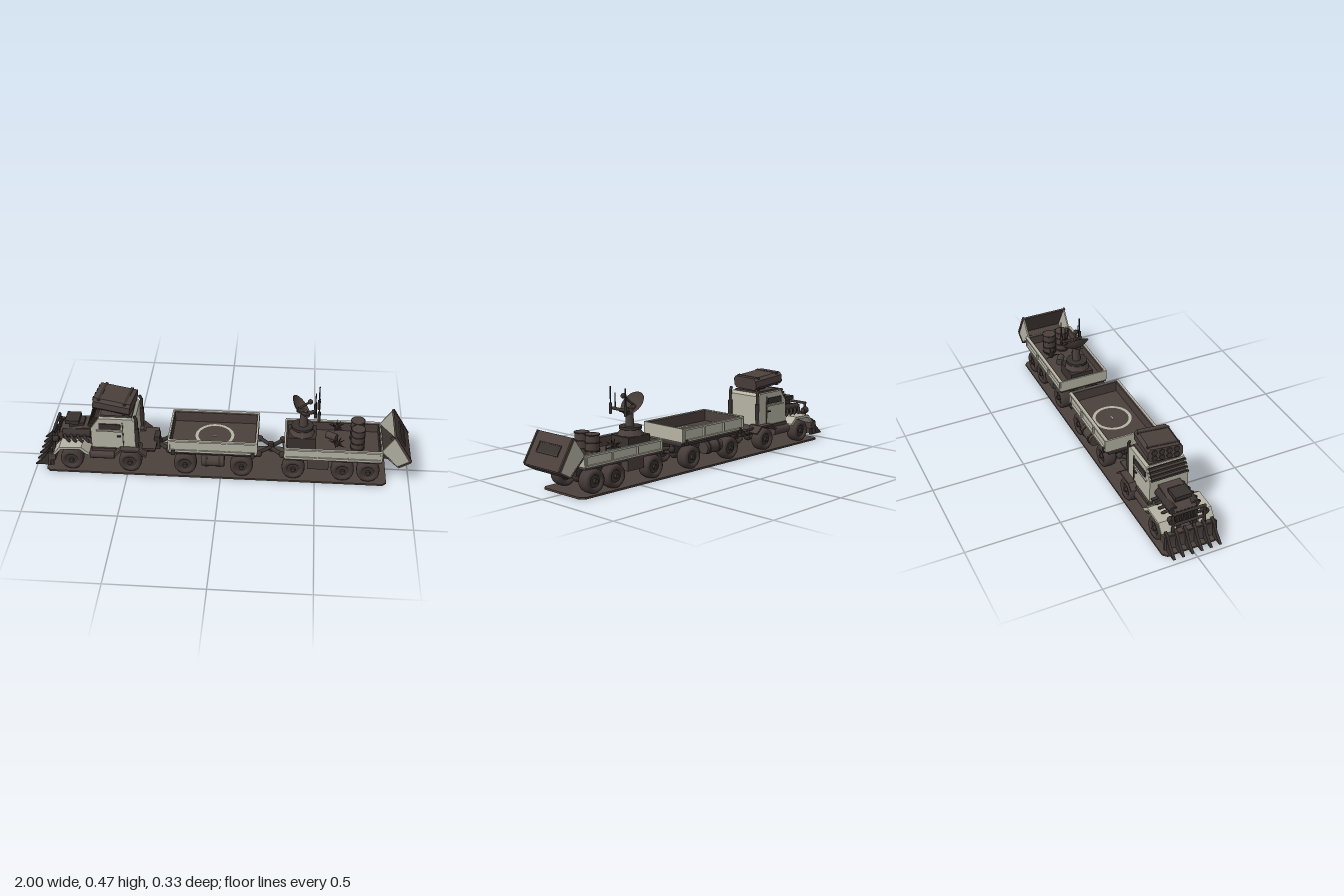
import * as THREE from 'three';

const mat = (name, color, side = THREE.FrontSide) => {
  const m = new THREE.MeshStandardMaterial({ color, side });
  m.name = name;
  return m;
};

export function createModel() {
  const root = new THREE.Group();
  const brown = mat('brownSteel', 0x4b403c);
  const tyreMat = mat('tyreRubber', 0x443a37);
  const iron = mat('darkIron', 0x39322f);
  const dish = mat('dishSteel', 0x483d39, THREE.DoubleSide);
  const pale = mat('palePaint', 0xb6b4a5);

  const add = (p, name, geo, m, x = 0, y = 0, z = 0, rx = 0, ry = 0, rz = 0) => {
    const o = new THREE.Mesh(geo, m);
    o.name = name;
    o.position.set(x, y, z);
    o.rotation.set(rx, ry, rz);
    p.add(o);
    return o;
  };
  const group = (name) => { const g = new THREE.Group(); g.name = name; root.add(g); return g; };
  // box given by its limits
  const box = (p, name, m, x0, x1, y0, y1, z0, z1) =>
    add(p, name, new THREE.BoxGeometry(x1 - x0, y1 - y0, z1 - z0), m, (x0 + x1) / 2, (y0 + y1) / 2, (z0 + z1) / 2);
  // side profile pushed across z
  const prism = (p, name, m, pts, z0, z1) => add(p, name,
    new THREE.ExtrudeGeometry(new THREE.Shape(pts.map(a => new THREE.Vector2(...a))), { depth: z1 - z0, bevelEnabled: false }), m, 0, 0, z0);
  // rod between two points
  const rod = (p, name, m, a, b, r, r2 = r) => {
    const A = new THREE.Vector3(...a), B = new THREE.Vector3(...b), d = B.clone().sub(A);
    const o = add(p, name, new THREE.CylinderGeometry(r2, r, d.length(), 12), m);
    o.position.copy(A).add(B).multiplyScalar(0.5);
    o.quaternion.setFromUnitVectors(new THREE.Vector3(0, 1, 0), d.normalize());
    return o;
  };
  const sides = (f) => [1, -1].forEach(f);

  // wheels with axle and hub
  const tyreGeo = new THREE.LatheGeometry([[0.03, -0.022], [0.036, -0.033], [0.05, -0.035], [0.058, -0.028], [0.061, -0.012],
    [0.061, 0.012], [0.058, 0.028], [0.05, 0.035], [0.036, 0.033], [0.03, 0.022]].map(a => new THREE.Vector2(...a)), 32);
  const hubGeo = new THREE.CylinderGeometry(0.031, 0.031, 0.048, 20);
  const capGeo = new THREE.CylinderGeometry(0.012, 0.016, 0.075, 12);
  const axle = (p, x) => {
    sides(s => {
      add(p, 'tyre', tyreGeo, tyreMat, x, 0.07, s * 0.104, Math.PI / 2);
      add(p, 'hub', hubGeo, iron, x, 0.07, s * 0.104, Math.PI / 2);
      add(p, 'hubCap', capGeo, iron, x, 0.07, s * 0.104, s * Math.PI / 2);
    });
    rod(p, 'axle', iron, [x, 0.07, -0.08], [x, 0.07, 0.08], 0.012);
    add(p, 'differential', new THREE.SphereGeometry(0.026, 16, 10), iron, x, 0.07, 0);
  };

  // ground plate with clipped corners
  const c = 0.02;
  const plate = new THREE.Shape([[-0.94, -0.15 + c], [-0.94 + c, -0.15], [0.88 - c, -0.15], [0.88, -0.15 + c],
    [0.88, 0.15 - c], [0.88 - c, 0.15], [-0.94 + c, 0.15], [-0.94, 0.15 - c]].map(a => new THREE.Vector2(...a)));
  add(root, 'groundPlate', new THREE.ExtrudeGeometry(plate, { depth: 0.01, bevelEnabled: false }), brown, 0, 0.01, 0, Math.PI / 2);

  // ---- truck ----
  const truck = group('truck');
  [-0.8, -0.485].forEach(x => axle(truck, x));
  sides(s => box(truck, 'frameRail', iron, -0.88, -0.36, 0.09, 0.125, s * 0.045 - 0.012, s * 0.045 + 0.012));
  box(truck, 'rearDeck', brown, -0.5, -0.35, 0.13, 0.142, -0.1, 0.1);
  prism(truck, 'cab', pale, [[-0.69, 0.14], [-0.455, 0.14], [-0.455, 0.31], [-0.47, 0.325], [-0.645, 0.325], [-0.69, 0.26]], -0.105, 0.105);
  box(truck, 'roof', brown, -0.64, -0.47, 0.325, 0.335, -0.085, 0.085);
  sides(s => {
    const z = s * 0.107;
    box(truck, 'sideWindow', iron, -0.645, -0.53, 0.262, 0.295, z - 0.004, z + 0.004);
    box(truck, 'doorLip', pale, -0.66, -0.52, 0.248, 0.256, z - 0.006, z + 0.006);
    box(truck, 'doorSeam', brown, -0.522, -0.517, 0.15, 0.305, z - 0.003, z + 0.003);
    box(truck, 'doorHandle', iron, -0.55, -0.53, 0.215, 0.222, z - 0.006, z + 0.006);
    box(truck, 'sill', brown, -0.69, -0.56, 0.125, 0.142, s * 0.1 - 0.015, s * 0.1 + 0.015);
    rod(truck, 'fuelTank', brown, [-0.7, 0.1, s * 0.105], [-0.57, 0.1, s * 0.105], 0.026);
    // exhaust stack
    rod(truck, 'exhaustPipe', iron, [-0.445, 0.14, s * 0.1], [-0.445, 0.33, s * 0.1], 0.008);
    rod(truck, 'muffler', iron, [-0.445, 0.18, s * 0.1], [-0.445, 0.27, s * 0.1], 0.012);
    rod(truck, 'exhaustTip', iron, [-0.445, 0.325, s * 0.1], [-0.455, 0.346, s * 0.1], 0.008);
    // fenders
    const z0 = Math.min(s * 0.06, s * 0.143), z1 = Math.max(s * 0.06, s * 0.143);
    prism(truck, 'frontFender', pale, [[-0.885, 0.105], [-0.855, 0.142], [-0.75, 0.146], [-0.715, 0.115], [-0.7, 0.115],
      [-0.7, 0.125], [-0.742, 0.16], [-0.86, 0.156], [-0.895, 0.112]], z0, z1);
    prism(truck, 'rearFender', brown, [[-0.56, 0.115], [-0.53, 0.142], [-0.44, 0.142], [-0.4, 0.11], [-0.395, 0.118],
      [-0.435, 0.152], [-0.535, 0.152], [-0.568, 0.122]], z0, z1);
    add(truck, 'headlight', new THREE.CylinderGeometry(0.02, 0.015, 0.03, 16), iron, -0.885, 0.175, s * 0.09, 0, 0, Math.PI / 2);
  });
  // armoured windscreen
  const screen = add(truck, 'windscreen', new THREE.BoxGeometry(0.008, 0.07, 0.19), brown, -0.671, 0.292, 0, 0, 0, -0.605);
  for (let i = 0; i < 4; i++) add(screen, 'windscreenSlat', new THREE.BoxGeometry(0.022, 0.008, 0.2), iron, -0.01, -0.03 + i * 0.02, 0);
  // engine
  prism(truck, 'engineBay', brown, [[-0.875, 0.13], [-0.685, 0.13], [-0.685, 0.235], [-0.77, 0.225], [-0.855, 0.205], [-0.875, 0.19]], -0.06, 0.06);
  for (let i = 0; i < 6; i++) box(truck, 'grilleBar', iron, -0.886, -0.872, 0.13, 0.205, -0.054 + i * 0.0195, -0.044 + i * 0.0195);
  box(truck, 'blower', iron, -0.82, -0.74, 0.215, 0.243, -0.035, 0.035);
  box(truck, 'intakeScoop', iron, -0.84, -0.765, 0.24, 0.262, -0.045, 0.045);
  sides(s => {
    rod(truck, 'cylinderBank', iron, [-0.85, 0.195, s * 0.06], [-0.7, 0.2, s * 0.06], 0.024);
    for (let i = 0; i < 4; i++) add(truck, 'exhaustHeader', new THREE.TubeGeometry(new THREE.QuadraticBezierCurve3(
      new THREE.Vector3(-0.84 + i * 0.035, 0.2, s * 0.06), new THREE.Vector3(-0.84 + i * 0.035, 0.195, s * 0.105),
      new THREE.Vector3(-0.81 + i * 0.035, 0.165, s * 0.095)), 8, 0.008, 8), iron);
  });
  // roof launcher
  const launcher = new THREE.Group();
  launcher.name = 'roofLauncher';
  launcher.position.set(-0.567, 0.385, 0);
  launcher.rotation.set(0, -0.12, -0.11);
  truck.add(launcher);
  const lo = new THREE.Shape([[-0.09, -0.018], [-0.075, -0.034], [0.075, -0.034], [0.09, -0.018], [0.09, 0.018],
    [0.075, 0.034], [-0.075, 0.034], [-0.09, 0.018]].map(a => new THREE.Vector2(...a)));
  add(launcher, 'launcherBox', new THREE.ExtrudeGeometry(lo, { depth: 0.2, bevelEnabled: false }), brown, -0.1, 0, 0, 0, Math.PI / 2);
  sides(s => {
    for (let i = 0; i < 4; i++)
      add(launcher, 'launchTube', new THREE.CylinderGeometry(0.014, 0.014, 0.012, 12), iron, -0.1, s * 0.015, -0.057 + i * 0.038, 0, 0, Math.PI / 2);
    add(launcher, 'launcherBand', new THREE.BoxGeometry(0.014, 0.072, 0.166), iron, s * 0.07);
  });
  rod(truck, 'launcherMount', iron, [-0.56, 0.33, 0], [-0.56, 0.36, 0], 0.045);
  // ram bumper and plough teeth
  box(truck, 'bumper', brown, -0.925, -0.885, 0.07, 0.11, -0.143, 0.143);
  const ram = box(truck, 'ploughBlade', brown, -0.925, -0.912, 0.035, 0.115, -0.143, 0.143);
  ram.rotation.z = -0.12;
  for (let i = 0; i < 6; i++) {
    const z = -0.125 + i * 0.05;
    prism(truck, 'ploughTooth', iron, [[-1, 0.03], [-0.9, 0.03], [-0.9, 0.13], [-0.925, 0.115], [-0.95, 0.075]], z - 0.007, z + 0.007);
  }
  sides(s => {
    rod(truck, 'guardPost', iron, [-0.9, 0.1, s * 0.085], [-0.895, 0.215, s * 0.085], 0.008);
    rod(truck, 'guardBrace', iron, [-0.895, 0.18, s * 0.085], [-0.85, 0.14, s * 0.06], 0.006);
  });
  [0.15, 0.215].forEach(y => rod(truck, 'guardBar', iron, [-0.897, y, -0.09], [-0.897, y, 0.09], 0.008));

  // ---- cargo beds ----
  const bed = (p, x0, x1, y0, y1, w, n) => {
    box(p, 'bedFloor', brown, x0, x1, y0 - 0.012, y0 + 0.008, -w, w);
    sides(s => {
      const z = s * (w - 0.006), zi = s * (w - 0.012);
      box(p, 'sideWall', pale, x0, x1, y0, y1, z - 0.003, z + 0.003);
      box(p, 'sideLining', brown, x0, x1, y0, y1 - 0.004, zi - 0.003, zi + 0.003);
      [y0 + 0.004, y1 - 0.005].forEach(y => box(p, 'sideRail', pale, x0, x1, y - 0.005, y + 0.005, s * w - 0.007, s * w + 0.004));
      for (let i = 0; i <= n; i++) {
        const x = x0 + 0.004 + (x1 - x0 - 0.008) * i / n;
        box(p, 'sideRib', pale, x - 0.004, x + 0.004, y0, y1, s * w - 0.007, s * w + 0.003);
      }
      const x = s > 0 ? x1 : x0;
      box(p, 'endWall', pale, x - 0.004, x + 0.004, y0, y1, -w, w);
      box(p, 'endLining', brown, x - s * 0.007 - 0.003, x - s * 0.007 + 0.003, y0, y1 - 0.004, -w + 0.01, w - 0.01);
      box(p, 'chassisRail', iron, x0 + 0.01, x1 - 0.01, 0.09, y0 - 0.01, s * 0.045 - 0.013, s * 0.045 + 0.013);
    });
  };
  const hitch = (p, x0, x1) => {
    const m = (x0 + x1) / 2;
    sides(s => {
      rod(p, 'drawbarArm', iron, [x1 + 0.01, 0.115, s * 0.075], [m, 0.115, s * 0.008], 0.011);
      rod(p, 'towArm', iron, [x0 - 0.01, 0.125, s * 0.075], [m, 0.12, s * 0.008], 0.01);
      [x0, x1].forEach(x => add(p, 'armJoint', new THREE.SphereGeometry(0.018, 12, 8), iron, x, 0.118, s * 0.07));
    });
    rod(p, 'hitchPin', iron, [m, 0.095, 0], [m, 0.145, 0], 0.015);
  };

  // ---- first trailer ----
  const t1 = group('middleTrailer');
  [-0.19, 0.11].forEach(x => axle(t1, x));
  bed(t1, -0.275, 0.19, 0.165, 0.235, 0.143, 3);
  box(t1, 'underBed', iron, -0.275, 0.19, 0.138, 0.155, -0.13, 0.13);
  add(t1, 'floorRing', new THREE.RingGeometry(0.088, 0.104, 48), pale, -0.04, 0.176, 0, -Math.PI / 2);
  box(t1, 'floorMark', pale, -0.052, -0.028, 0.173, 0.176, -0.003, 0.003);
  sides(s => {
    rod(t1, 'sideTank', brown, [-0.1, 0.105, s * 0.125], [0.02, 0.105, s * 0.125], 0.034);
    [-0.075, -0.005].forEach(x => rod(t1, 'tankStrap', iron, [x - 0.006, 0.105, s * 0.125], [x + 0.006, 0.105, s * 0.125], 0.038));
    [-0.25, 0.17].forEach(x => box(t1, 'cornerLatch', iron, x - 0.01, x + 0.01, 0.145, 0.175, s * 0.148 - 0.004, s * 0.148 + 0.004));
  });
  hitch(t1, -0.4, -0.28);
  box(t1, 'hitchPost', iron, -0.365, -0.335, 0.09, 0.17, -0.03, 0.03);

  // ---- second trailer ----
  const t2 = group('rearTrailer');
  [0.385, 0.645, 0.78].forEach(x => axle(t2, x));
  bed(t2, 0.337, 0.845, 0.148, 0.208, 0.138, 3);
  sides(s => box(t2, 'sideLocker', brown, 0.46, 0.57, 0.08, 0.136, s * 0.11 - 0.025, s * 0.11 + 0.025));
  hitch(t2, 0.2, 0.325);
  // tipping tail scoop
  const A = [0.905, 0.3], B = [0.995, 0.15], C = [0.935, 0.115], D = [0.84, 0.205];
  const panel = (name, p, q, t, w, m) => add(t2, name, new THREE.BoxGeometry(Math.hypot(q[0] - p[0], q[1] - p[1]), t, w), m,
    (p[0] + q[0]) / 2, (p[1] + q[1]) / 2, 0, 0, 0, Math.atan2(q[1] - p[1], q[0] - p[0]));
  sides(s => prism(t2, 'scoopSide', pale, [D, C, B, A], s * 0.127 - 0.004, s * 0.127 + 0.004));
  const back = panel('scoopBack', A, B, 0.01, 0.27, brown);
  panel('scoopLip', B, C, 0.01, 0.27, brown);
  panel('scoopFloor', C, D, 0.01, 0.262, brown);
  add(back, 'scoopInset', new THREE.BoxGeometry(0.05, 0.004, 0.15), iron, -0.01, 0.006, 0);
  sides(s => {
    add(back, 'insetFrame', new THREE.BoxGeometry(0.005, 0.008, 0.16), brown, -0.01 + s * 0.026, 0.007, 0);
    add(back, 'insetFrame', new THREE.BoxGeometry(0.055, 0.008, 0.005), brown, -0.01, 0.007, s * 0.077);
    add(back, 'scoopRim', new THREE.BoxGeometry(0.175, 0.014, 0.01), brown, 0, 0.002, s * 0.13);
    rod(t2, 'scoopHinge', iron, [0.85, 0.15, s * 0.08], [0.94, 0.135, s * 0.08], 0.014);
  });

  // radar turret
  box(t2, 'turretBase', iron, 0.35, 0.5, 0.155, 0.225, -0.065, 0.065);
  add(t2, 'turretStep', new THREE.CylinderGeometry(0.05, 0.07, 0.03, 8), brown, 0.425, 0.24, 0);
  add(t2, 'turretRing', new THREE.CylinderGeometry(0.058, 0.058, 0.014, 24), iron, 0.425, 0.262, 0);
  rod(t2, 'turretColumn', brown, [0.43, 0.26, 0], [0.43, 0.36, 0], 0.024, 0.018);
  const bowl = [];
  for (let i = 0; i <= 8; i++) bowl.push(new THREE.Vector2(0.07 * i / 8, 0.028 * (i / 8) ** 2));
  add(t2, 'radarDish', new THREE.LatheGeometry(bowl, 32), dish, 0.395, 0.365, -0.005, 0, 0, -0.83);
  rod(t2, 'dishFeed', iron, [0.395, 0.365, 0], [0.46, 0.425, 0.012], 0.006);
  add(t2, 'feedHead', new THREE.SphereGeometry(0.014, 14, 10), iron, 0.46, 0.424, 0.012);
  rod(t2, 'dishArm', iron, [0.395, 0.365, 0], [0.455, 0.335, 0], 0.014);
  rod(t2, 'crossArm', iron, [0.49, 0.36, -0.06], [0.49, 0.36, 0.06], 0.008);
  rod(t2, 'crossArmStay', iron, [0.43, 0.335, 0], [0.495, 0.36, 0], 0.01);
  sides(s => {
    rod(t2, 'tallAntenna', iron, [0.508, 0.34, s * 0.055], [0.508, 0.475, s * 0.055], 0.004, 0.003);
    rod(t2, 'antennaBase', iron, [0.508, 0.335, s * 0.055], [0.508, 0.39, s * 0.055], 0.008);
    rod(t2, 'shortAntenna', iron, [0.49, 0.36, s * 0.04], [0.49, 0.442, s * 0.04], 0.003);
  });

  // spiked obstacles
  [-0.08, 0.072].forEach(z => {
    add(t2, 'spikeCore', new THREE.SphereGeometry(0.015, 10, 8), iron, 0.61, 0.205, z);
    for (let i = 0; i < 9; i++) {
      const a = i * 2.4, h = 0.9 - i * 0.14, r = Math.sqrt(1 - h * h) * 0.048;
      rod(t2, 'spike', iron, [0.61, 0.205, z], [0.61 + Math.cos(a) * r, 0.205 + h * 0.048, z + Math.sin(a) * r], 0.007, 0.0005);
    }
  });
  // barrels
  [-0.046, 0.032].forEach(z => {
    rod(t2, 'barrel', brown, [0.72, 0.156, z], [0.72, 0.28, z], 0.036);
    [0.165, 0.2, 0.24, 0.278].forEach(y => add(t2, 'barrelHoop', new THREE.TorusGeometry(0.036, 0.003, 6, 24), iron, 0.72, y, z, Math.PI / 2));
  });
  rod(t2, 'lyingCan', brown, [0.56, 0.18, -0.05], [0.61, 0.18, -0.02], 0.02);

  return root;
}
